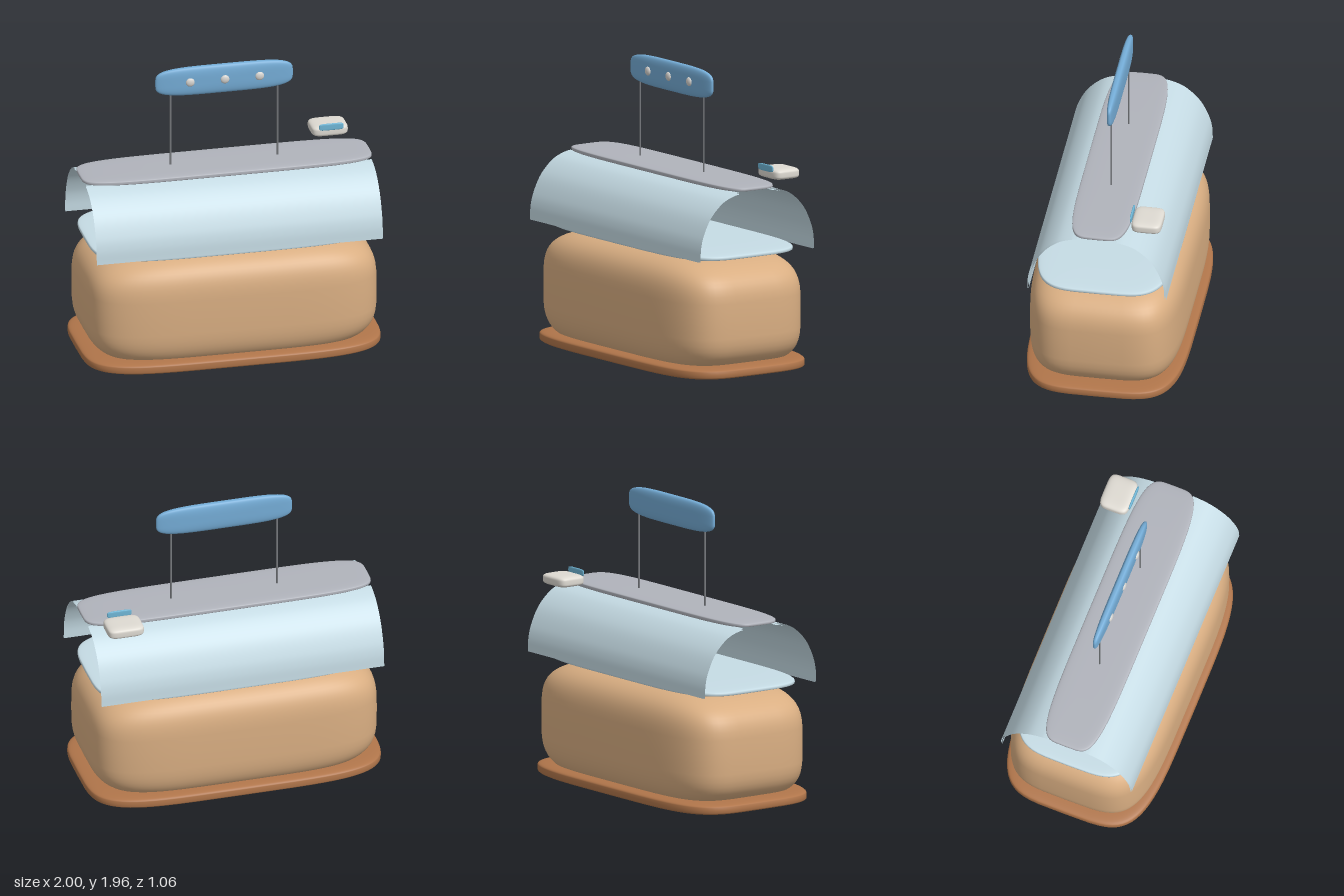
import * as THREE from 'three';
import { mergeVertices } from 'three/addons/utils/BufferGeometryUtils.js';

const COLORS = {
  base: 0xb0754a, body: 0xd9ae82, panel: 0xc6dce5, lid: 0xb0b3bb,
  grip: 0x74acd6, rod: 0x777a7e, button: 0xd6d4d0, clasp: 0xdedad2, tag: 0x6fb6d6,
};

const spow = (v, e) => Math.sign(v) * Math.pow(Math.abs(v), e);

// Soft rounded slab: plan sets corner squareness, edge sets rim squareness
function slab(w, h, d, plan = 4.5, edge = 4) {
  let g = new THREE.SphereGeometry(1, 72, 36);
  const p = g.attributes.position;
  for (let i = 0; i < p.count; i++) {
    const x = p.getX(i), y = p.getY(i), z = p.getZ(i);
    const r = Math.hypot(x, z) || 1e-9;
    const s = Math.pow(r, 2 / edge);
    p.setXYZ(i, spow(x / r, 2 / plan) * s * w / 2, spow(y, 2 / edge) * h / 2, spow(z / r, 2 / plan) * s * d / 2);
  }
  g.deleteAttribute('uv');
  g.deleteAttribute('normal');
  g = mergeVertices(g, 1e-5);
  g.computeVertexNormals();
  return g;
}

// Thin curved sheet swept along x, following a (z, y) profile
function sheet(points, halfLength, thickness) {
  const curve = new THREE.CatmullRomCurve3(points.map(([z, y]) => new THREE.Vector3(0, y, z)));
  const n = 32, pos = [], index = [];
  for (let layer = 0; layer < 2; layer++) {
    for (let i = 0; i <= n; i++) {
      const c = curve.getPoint(i / n), t = curve.getTangent(i / n);
      const off = layer * thickness;
      for (const x of [-halfLength, halfLength]) pos.push(x, c.y + t.z * off, c.z - t.y * off);
    }
  }
  const row = 2 * (n + 1);
  for (let i = 0; i < n; i++) {
    const a = i * 2, b = a + row;
    index.push(a, a + 1, a + 2, a + 1, a + 3, a + 2);
    index.push(b, b + 2, b + 1, b + 1, b + 2, b + 3);
  }
  const g = new THREE.BufferGeometry();
  g.setAttribute('position', new THREE.Float32BufferAttribute(pos, 3));
  g.setIndex(index);
  g.computeVertexNormals();
  return g;
}

export function createModel() {
  const model = new THREE.Group();
  const add = (name, geometry, color, x = 0, y = 0, z = 0, side = THREE.FrontSide) => {
    const mesh = new THREE.Mesh(geometry, new THREE.MeshStandardMaterial({ color, side }));
    mesh.name = name;
    mesh.position.set(x, y, z);
    model.add(mesh);
    return mesh;
  };

  // Foot plate and rounded case
  add('basePlate', slab(2, 0.094, 1.06, 4.5, 5), COLORS.base, 0, 0.0485, 0);
  add('body', slab(1.95, 0.786, 1.02, 4.5, 4), COLORS.body, 0, 0.393, 0);

  // Thin tray over the case
  add('tray', slab(1.88, 0.045, 0.92, 4.5, 5), COLORS.panel, 0, 0.808, 0);

  // Two curved side covers, open along the top and at the ends
  const profile = [[0.46, 0.81], [0.455, 0.9], [0.435, 0.98], [0.37, 1.105], [0.265, 1.2], [0.17, 1.235], [0.135, 1.24]];
  const cover = sheet(profile, 0.96, 0.01);
  add('frontCover', cover, COLORS.panel, 0, 0, 0, THREE.DoubleSide);
  add('backCover', cover, COLORS.panel, 0, 0, 0, THREE.DoubleSide).rotation.y = Math.PI;

  // Top lid
  add('lid', slab(1.95, 0.04, 0.41, 5, 5), COLORS.lid, 0, 1.257, 0);

  // Grip on two rods, with three buttons on its front
  for (const side of [-1, 1]) {
    add(side > 0 ? 'leftRod' : 'rightRod', new THREE.CylinderGeometry(0.006, 0.006, 0.54, 12), COLORS.rod, side * 0.36, 1.52, 0);
  }
  add('grip', slab(0.925, 0.06, 0.2, 4, 3).rotateX(Math.PI / 2), COLORS.grip, 0, 1.86, 0);
  for (const x of [-0.233, 0, 0.233]) {
    add('button', new THREE.SphereGeometry(0.03, 24, 16).scale(1, 1, 0.5), COLORS.button, x, 1.86, 0.027);
  }

  // Clasp at the back left with its small tag
  add('clasp', slab(0.245, 0.075, 0.2, 5, 4), COLORS.clasp, 0.77, 1.305, -0.312);
  add('claspTag', slab(0.165, 0.014, 0.046, 5, 4).rotateX(Math.PI / 2), COLORS.tag, 0.77, 1.345, -0.207);

  return model;
}
